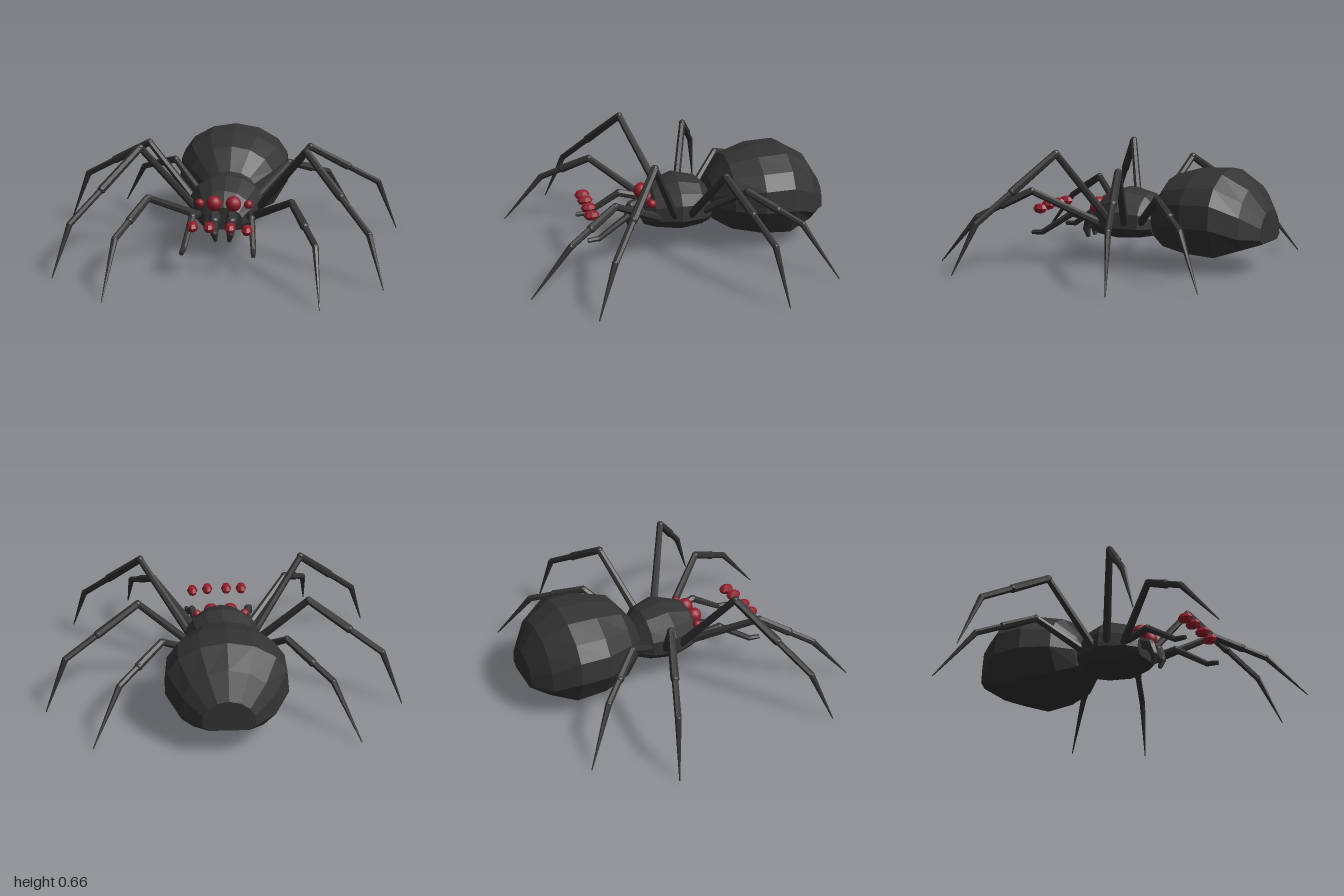
import * as THREE from 'three';

const shell = new THREE.MeshStandardMaterial({ color: 0x333333 });
shell.name = 'charcoal shell';
const red = new THREE.MeshStandardMaterial({ color: 0x8f1c2a });
red.name = 'dark red eye';

// Faceted normals on any geometry
function facet(geometry) {
  const g = geometry.index ? geometry.toNonIndexed() : geometry;
  g.computeVertexNormals();
  return g;
}

function addMesh(parent, name, geometry, material) {
  const mesh = new THREE.Mesh(geometry, material);
  mesh.name = name;
  parent.add(mesh);
  return mesh;
}

// Half cross-section above the widest ridge, as fractions of width and height
const DOME = [[1, 0], [0.96, 0.42], [0.78, 0.7], [0.43, 0.92], [0, 1]];

// Flat-bottomed domed body; sections run back to front:
// [z, half width, bottom y, ridge y, top y]
function domedBody(sections) {
  const positions = [];
  const index = [];
  let n = 0;
  for (const [z, w, bottom, ridge, top] of sections) {
    const right = [[w * 0.74, bottom], ...DOME.map(([u, v]) => [u * w, ridge + v * (top - ridge)])];
    const left = right.slice(0, -1).reverse().map(([x, y]) => [-x, y]);
    const ring = [...right, ...left];
    n = ring.length;
    for (const [x, y] of ring) positions.push(x, y, z);
  }
  for (let i = 0; i < sections.length - 1; i++) {
    for (let j = 0; j < n; j++) {
      const a = i * n + j;
      const b = i * n + ((j + 1) % n);
      index.push(a, b, b + n, a, b + n, a + n);
    }
  }
  // End caps
  const last = (sections.length - 1) * n;
  for (let j = 1; j < n - 1; j++) {
    index.push(0, j + 1, j);
    index.push(last, last + j, last + j + 1);
  }
  const g = new THREE.BufferGeometry();
  g.setAttribute('position', new THREE.Float32BufferAttribute(positions, 3));
  g.setIndex(index);
  return facet(g);
}

// Jointed limb; each bone is tapered between its two radii
function limb(name, points, bones) {
  const group = new THREE.Group();
  group.name = name;
  const up = new THREE.Vector3(0, 1, 0);
  const pts = points.map((p) => new THREE.Vector3(...p));
  bones.forEach(([r0, r1], i) => {
    const dir = pts[i + 1].clone().sub(pts[i]);
    const bone = addMesh(group, 'segment' + (i + 1),
      facet(new THREE.CylinderGeometry(r1, r0, dir.length(), 7)), shell);
    bone.position.copy(pts[i]).addScaledVector(dir, 0.5);
    bone.quaternion.setFromUnitVectors(up, dir.normalize());
    if (i > 0) {
      const joint = addMesh(group, 'joint' + i,
        facet(new THREE.IcosahedronGeometry(Math.max(r0, bones[i - 1][1]), 1)), shell);
      joint.position.copy(pts[i]);
    }
  });
  return group;
}

// Hip, knee, ankle and tip of each left leg
const LEGS = {
  frontLeg: [[0.15, 0.22, 0.1], [0.39, 0.41, 0.39], [0.53, 0.265, 0.66], [0.565, 0, 0.885]],
  secondLeg: [[0.17, 0.22, 0.0], [0.46, 0.635, 0.19], [0.81, 0.275, 0.48], [0.895, 0, 0.585]],
  thirdLeg: [[0.17, 0.22, -0.08], [0.47, 0.555, -0.2], [0.87, 0.305, -0.355], [0.99, 0, -0.405]],
  backLeg: [[0.13, 0.22, -0.15], [0.34, 0.405, -0.365], [0.57, 0.28, -0.61], [0.715, 0, -0.78]],
};

export function createModel() {
  const model = new THREE.Group();
  model.name = 'spider';

  addMesh(model, 'abdomen', domedBody([
    [-0.88, 0.14, 0.165, 0.19, 0.34],
    [-0.795, 0.25, 0.14, 0.205, 0.475],
    [-0.655, 0.33, 0.095, 0.255, 0.558],
    [-0.485, 0.33, 0.105, 0.255, 0.55],
    [-0.325, 0.255, 0.125, 0.255, 0.505],
    [-0.23, 0.15, 0.165, 0.255, 0.38],
    [-0.2, 0.09, 0.2, 0.245, 0.29],
  ]), shell);

  addMesh(model, 'head', domedBody([
    [-0.22, 0.13, 0.16, 0.2, 0.33],
    [-0.16, 0.18, 0.152, 0.2, 0.39],
    [-0.03, 0.215, 0.145, 0.205, 0.42],
    [0.11, 0.16, 0.152, 0.2, 0.372],
    [0.165, 0.11, 0.16, 0.195, 0.29],
  ]), shell);

  for (const side of [1, -1]) {
    const prefix = side > 0 ? 'left ' : 'right ';
    const mirror = (points) => points.map(([x, y, z]) => [x * side, y, z]);

    // Legs, with a step in thickness halfway along the shin
    for (const [name, [hip, knee, ankle, tip]] of Object.entries(LEGS)) {
      const mid = knee.map((k, i) => k + (ankle[i] - k) * 0.55);
      model.add(limb(prefix + name, mirror([hip, knee, mid, ankle, tip]),
        [[0.024, 0.019], [0.021, 0.024], [0.018, 0.018], [0.018, 0.003]]));
    }

    // Feelers and fangs
    model.add(limb(prefix + 'feeler',
      mirror([[0.14, 0.23, 0.1], [0.165, 0.265, 0.26], [0.19, 0.145, 0.445], [0.195, 0.14, 0.51]]),
      [[0.022, 0.022], [0.02, 0.016], [0.016, 0.013]]));
    model.add(limb(prefix + 'fang',
      mirror([[0.05, 0.25, 0.12], [0.048, 0.225, 0.21], [0.045, 0.16, 0.235], [0.038, 0.112, 0.225]]),
      [[0.035, 0.03], [0.03, 0.022], [0.022, 0.011]]));

    // Large and small eyes
    for (const [name, x, y, z, r] of [['largeEye', 0.055, 0.31, 0.152, 0.044], ['smallEye', 0.138, 0.302, 0.132, 0.025]]) {
      addMesh(model, prefix + name, new THREE.SphereGeometry(r, 14, 10), red)
        .position.set(x * side, y, z);
    }
  }

  // Row of loose pointed beads ahead of the face
  [-0.137, -0.047, 0.068, 0.158].forEach((x, i) => {
    const bead = addMesh(model, 'bead' + (i + 1), facet(new THREE.SphereGeometry(1, 8, 4)), red);
    bead.scale.set(0.032, 0.03, 0.045);
    bead.position.set(x, i === 3 ? 0.275 : 0.285, 0.48);
  });

  return model;
}
